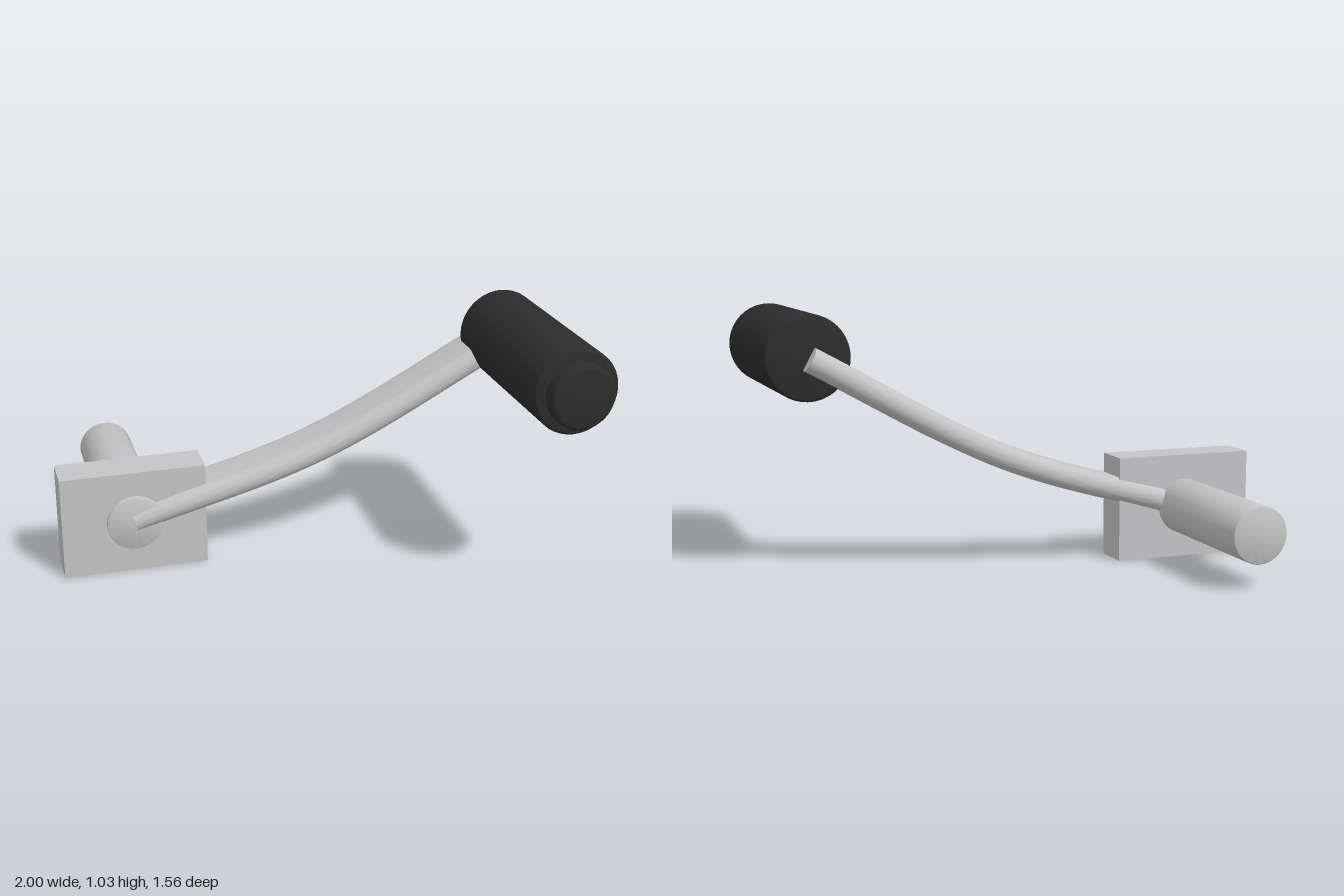
import * as THREE from 'three';
import { toCreasedNormals } from 'three/addons/utils/BufferGeometryUtils.js';

const metal = new THREE.MeshStandardMaterial({ color: 0xc4c4c6 });
metal.name = 'light grey metal';
const rubber = new THREE.MeshStandardMaterial({ color: 0x2c2c2c });
rubber.name = 'black rubber';

// Solid round bar along z, from z0 to z1, with rounded rims of radius e
function roundBar(name, material, x, y, z0, z1, r, e) {
  const length = z1 - z0;
  const profile = [new THREE.Vector2(0, 0)];
  for (let i = 0; i <= 4; i++) {
    const a = (i / 4) * Math.PI / 2;
    profile.push(new THREE.Vector2(r - e + e * Math.sin(a), e - e * Math.cos(a)));
  }
  for (let i = 0; i <= 4; i++) {
    const a = (i / 4) * Math.PI / 2;
    profile.push(new THREE.Vector2(r - e + e * Math.cos(a), length - e + e * Math.sin(a)));
  }
  profile.push(new THREE.Vector2(0, length));
  const geometry = toCreasedNormals(new THREE.LatheGeometry(profile, 40), 0.6);
  geometry.rotateX(Math.PI / 2);
  const mesh = new THREE.Mesh(geometry, material);
  mesh.name = name;
  mesh.position.set(x, y, z0);
  return mesh;
}

// Curved arm: a stadium section swept from the shaft to the grip
function crankArm() {
  const r = 0.049, half = 0.11 - r;
  const section = new THREE.Shape();
  section.moveTo(r, -half);
  section.lineTo(r, half);
  section.absarc(0, half, r, 0, Math.PI, false);
  section.lineTo(-r, -half);
  section.absarc(0, -half, r, Math.PI, Math.PI * 2, false);

  const path = new THREE.CatmullRomCurve3([
    new THREE.Vector3(-0.712, 0.212, -0.068),
    new THREE.Vector3(0.06, 0.45, -0.035),
    new THREE.Vector3(0.83, 0.86, -0.003),
  ], false, 'catmullrom', 0.5);

  const geometry = new THREE.ExtrudeGeometry(section, {
    depth: 1, steps: 36, curveSegments: 10, bevelEnabled: false,
  });
  // Bend the straight extrusion: depth follows the path, section y stays along z
  const pos = geometry.attributes.position;
  for (let i = 0; i < pos.count; i++) {
    const t = THREE.MathUtils.clamp(pos.getZ(i), 0, 1);
    const p = path.getPoint(t);
    const d = path.getTangent(t);
    const a = Math.atan2(d.y, d.x);
    const u = pos.getX(i), w = pos.getY(i);
    pos.setXYZ(i, p.x - u * Math.sin(a), p.y + u * Math.cos(a), p.z + w);
  }
  const mesh = new THREE.Mesh(toCreasedNormals(geometry, 0.6), metal);
  mesh.name = 'crankArm';
  return mesh;
}

export function createModel() {
  const model = new THREE.Group();
  model.name = 'crankHandle';

  // Mounting block and the shaft through it
  const block = new THREE.Mesh(new THREE.BoxGeometry(0.58, 0.424, 0.158), metal);
  block.name = 'mountingBlock';
  block.position.set(-0.71, 0.212, -0.065);
  model.add(block);
  model.add(roundBar('shaft', metal, -0.71, 0.212, -0.778, 0.03, 0.112, 0.004));

  // Arm, grip and the smaller end cap
  model.add(crankArm());
  model.add(roundBar('grip', rubber, 0.832, 0.863, -0.048, 0.711, 0.168, 0.014));
  model.add(roundBar('gripEndCap', rubber, 0.832, 0.863, 0.7, 0.777, 0.127, 0.018));

  return model;
}
